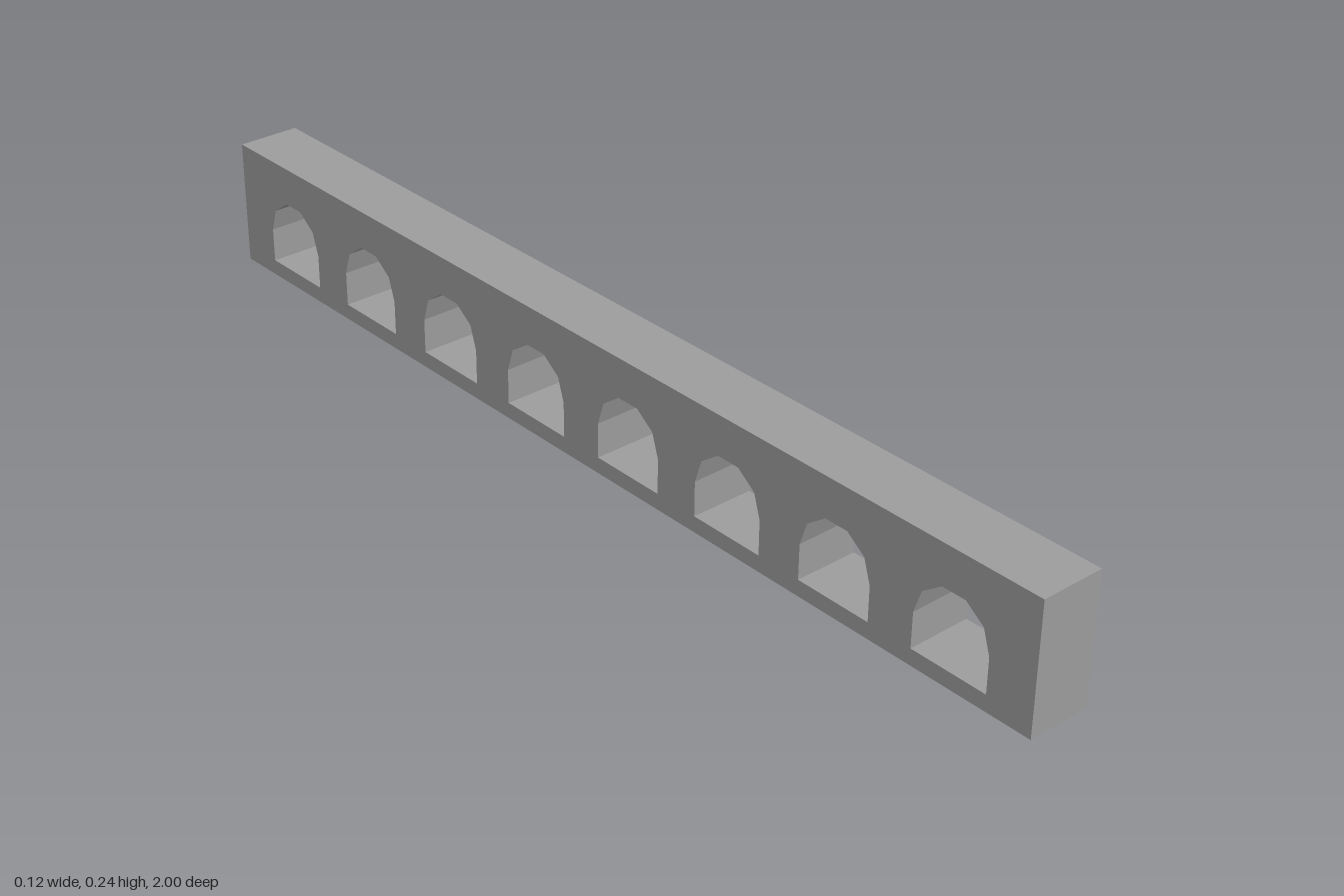
import * as THREE from 'three';

const LENGTH = 2, HEIGHT = 0.24, WIDTH = 0.12;
const COUNT = 8, SPACING = 0.239;

// Arched opening: straight sides under a five-sided round arch
function archHole(cx) {
  const radius = 0.075, bottom = 0.03, spring = 0.095, segments = 5;
  const points = [new THREE.Vector2(cx - radius, bottom), new THREE.Vector2(cx + radius, bottom)];
  for (let i = 0; i <= segments; i++) {
    const a = (i / segments) * Math.PI;
    points.push(new THREE.Vector2(cx + radius * Math.cos(a), spring + radius * Math.sin(a)));
  }
  return new THREE.Path(points);
}

export function createModel() {
  const group = new THREE.Group();
  group.name = 'archedWall';

  // Side outline of the wall, pierced by a row of arches
  const side = new THREE.Shape([
    new THREE.Vector2(-LENGTH / 2, 0),
    new THREE.Vector2(LENGTH / 2, 0),
    new THREE.Vector2(LENGTH / 2, HEIGHT),
    new THREE.Vector2(-LENGTH / 2, HEIGHT),
  ]);
  for (let i = 0; i < COUNT; i++) {
    side.holes.push(archHole((i - (COUNT - 1) / 2) * SPACING));
  }

  // Extrude across the width and turn the length along z
  const geometry = new THREE.ExtrudeGeometry(side, { depth: WIDTH, bevelEnabled: false });
  geometry.translate(0, 0, -WIDTH / 2);
  geometry.rotateY(-Math.PI / 2);

  const wall = new THREE.Mesh(
    geometry,
    new THREE.MeshStandardMaterial({ color: 0x9c9c9c, flatShading: true })
  );
  wall.name = 'wallWithArches';
  group.add(wall);
  return group;
}
